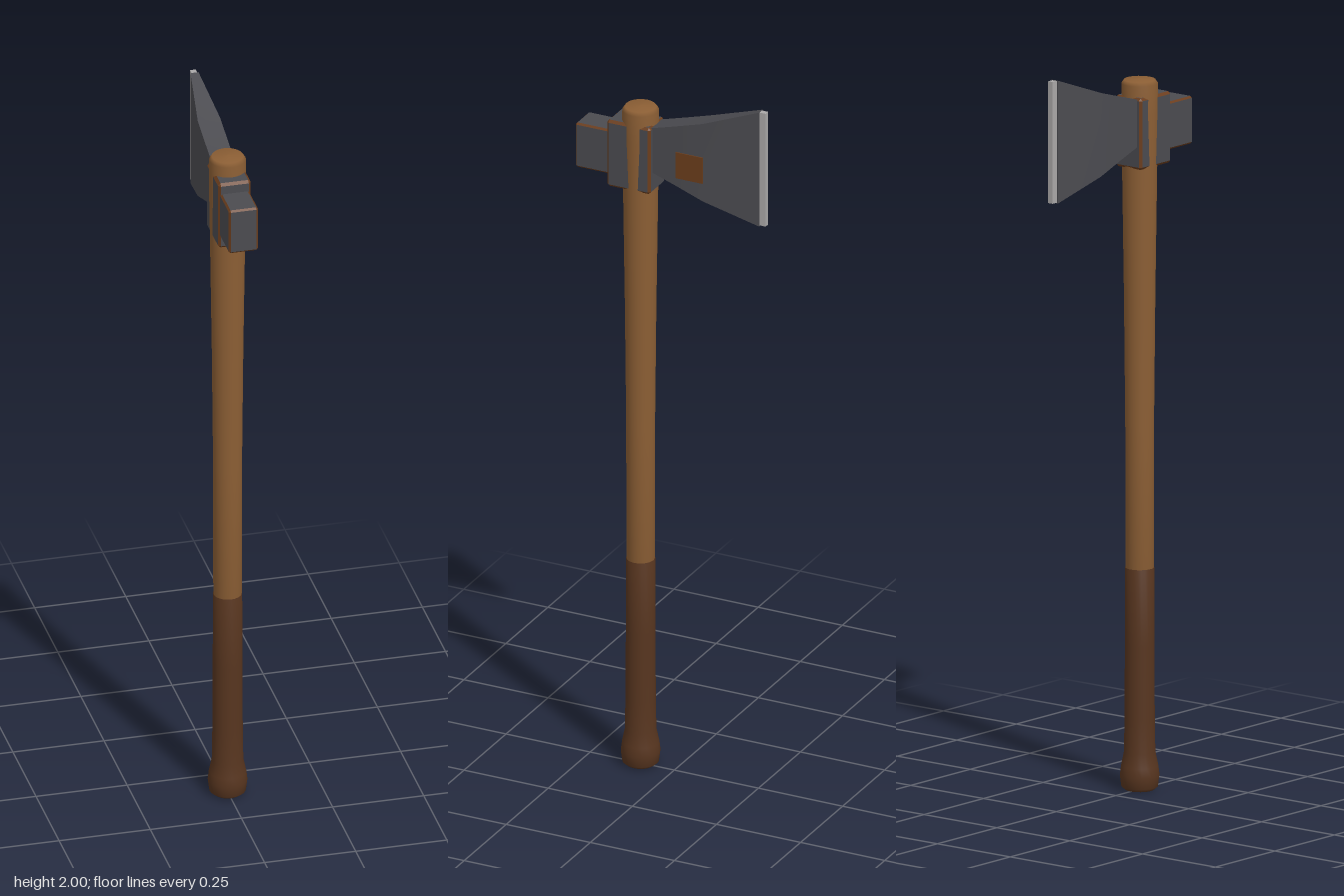
import * as THREE from 'three';
import { ConvexGeometry } from 'three/addons/geometries/ConvexGeometry.js';

const mat = (name, color, side = THREE.FrontSide) => {
  const m = new THREE.MeshStandardMaterial({ color, side });
  m.name = name;
  return m;
};

export function createModel() {
  const wood = mat('wood', 0x8b5e34);
  const grip = mat('dark grip', 0x57351f);
  const steel = mat('dark steel', 0x4b4b50);
  const edge = mat('honed edge', 0xaaa8a8);
  const rust = mat('rust', 0x6b3d1c);

  const group = new THREE.Group();
  const shaftZ = 0.1;
  const add = (name, geo, material, x = 0, y = 0, z = 0) => {
    const mesh = new THREE.Mesh(geo, material);
    mesh.name = name;
    mesh.position.set(x, y, z);
    group.add(mesh);
    return mesh;
  };
  const lathe = (pts) => new THREE.LatheGeometry(pts.map(([r, y]) => new THREE.Vector2(r, y)), 24);

  // Wooden shaft, flaring slightly towards the head
  add('shaft', lathe([
    [0, 0.605], [0.038, 0.605], [0.0385, 1.0], [0.042, 1.35], [0.047, 1.7],
    [0.0495, 1.85], [0.049, 1.93], [0.042, 1.94], [0, 1.943],
  ]), wood, 0, 0, shaftZ);

  // Wrapped grip with a swollen end knob
  add('grip', lathe([
    [0, 0.005], [0.038, 0.005], [0.049, 0.014], [0.053, 0.045], [0.05, 0.07],
    [0.042, 0.108], [0.0405, 0.2], [0.0395, 0.4], [0.039, 0.61], [0, 0.611],
  ]), grip, 0, 0, shaftZ);

  // Box with chamfers: flat faces steel, chamfers rust
  const chamferBox = (w, h, d, c) => {
    const pts = [];
    for (const x of [-1, 1]) for (const y of [-1, 1]) for (const z of [-1, 1]) {
      for (let k = 0; k < 3; k++) {
        pts.push(new THREE.Vector3(
          x * (w / 2 - (k === 0 ? 0 : c)),
          y * (h / 2 - (k === 1 ? 0 : c)),
          z * (d / 2 - (k === 2 ? 0 : c))));
      }
    }
    const geo = new ConvexGeometry(pts);
    const n = geo.attributes.normal;
    for (let i = 0; i < n.count; i += 3) {
      const flat = Math.max(Math.abs(n.getX(i)), Math.abs(n.getY(i)), Math.abs(n.getZ(i))) > 0.99;
      geo.addGroup(i, 3, flat ? 0 : 1);
    }
    return geo;
  };
  add('collar', chamferBox(0.09, 0.195, 0.13, 0.007), [steel, rust], 0, 1.803, 0.115);
  add('poll', chamferBox(0.08, 0.13, 0.11, 0.005), [steel, rust], 0, 1.805, 0.22);

  // Blade: [z, half width, bottom, top], fanning out towards the cutting edge
  const sections = [
    [0.06, 0.031, 1.77, 1.895],
    [-0.02, 0.031, 1.743, 1.918],
    [-0.1, 0.031, 1.714, 1.942],
    [-0.257, 0.011, 1.665, 2.0],
  ];
  const corners = sections.map(([z, w, b, t]) => [[w, b, z], [w, t, z], [-w, t, z], [-w, b, z]]);
  const pos = [], idx = [];
  for (let k = 0; k < 4; k++) {
    const base = pos.length / 3;
    corners.forEach((c) => pos.push(...c[k], ...c[(k + 1) % 4]));
    for (let s = 0; s < sections.length - 1; s++) {
      const a = base + 2 * s, d = a + 1, b = a + 2, c = a + 3;
      idx.push(a, b, c, a, c, d);
    }
  }
  const cap = pos.length / 3;
  corners[corners.length - 1].forEach((p) => pos.push(...p));
  idx.push(cap, cap + 3, cap + 2, cap, cap + 2, cap + 1);
  const blade = new THREE.BufferGeometry();
  blade.setAttribute('position', new THREE.Float32BufferAttribute(pos, 3));
  blade.setIndex(idx);
  blade.computeVertexNormals();
  add('blade', blade, steel);

  // Bright cutting edge and the rust patch on the left cheek
  add('cuttingEdge', new THREE.BoxGeometry(0.015, 0.332, 0.02), edge, 0, 1.833, -0.265);
  add('rustPatch', new THREE.BoxGeometry(0.006, 0.076, 0.08), rust, 0.031, 1.805, -0.06);

  return group;
}
